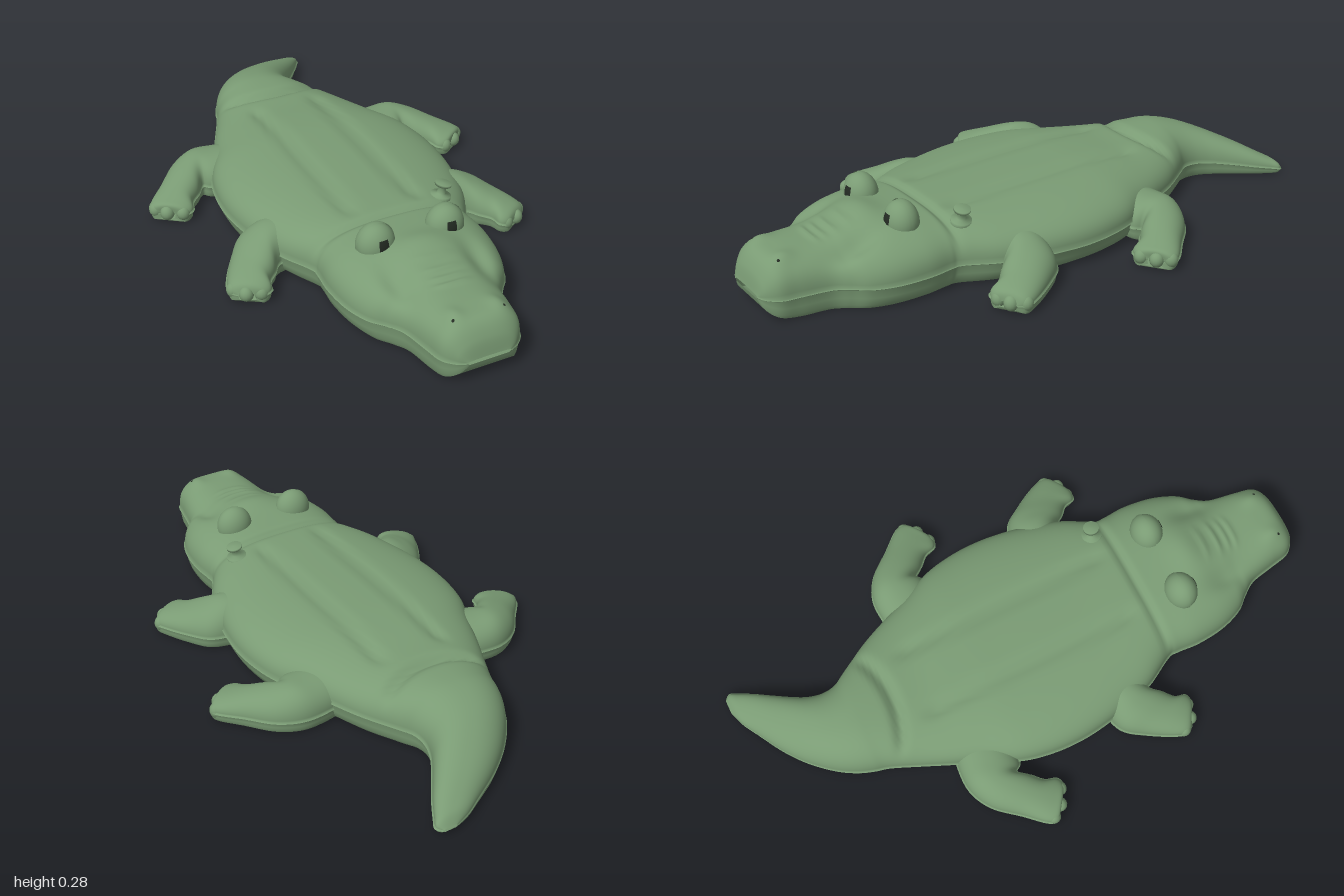
import * as THREE from 'three';

const green = new THREE.MeshStandardMaterial({ color: 0x7a9b74, side: THREE.DoubleSide });
green.name = 'softGreen';
const dark = new THREE.MeshStandardMaterial({ color: 0x232a22, side: THREE.DoubleSide });
dark.name = 'nearBlack';

const gauss = (v, c, w) => Math.exp(-(((v - c) / w) ** 2));

// Smooth interpolation of section rows
function densify(rows, steps) {
  const out = [];
  const at = i => rows[Math.min(rows.length - 1, Math.max(0, i))];
  for (let i = 0; i < rows.length - 1; i++) {
    for (let k = 0; k < steps; k++) {
      const t = k / steps;
      out.push(rows[i].map((p1, c) => {
        const p0 = at(i - 1)[c], p2 = at(i + 1)[c], p3 = at(i + 2)[c];
        return p1 + 0.5 * t * (p2 - p0 + t * (2 * p0 - 5 * p1 + 4 * p2 - p3 + t * (3 * (p1 - p2) + p3 - p0)));
      }));
    }
  }
  out.push(rows[rows.length - 1]);
  return out;
}

// Skin rows of points with one smooth surface
function skin(rows) {
  const n = rows[0].length, index = [];
  for (let i = 0; i < rows.length - 1; i++) {
    for (let j = 0; j < n - 1; j++) {
      const a = i * n + j, b = a + n;
      index.push(a, a + 1, b, a + 1, b + 1, b);
    }
  }
  const geo = new THREE.BufferGeometry();
  geo.setAttribute('position', new THREE.Float32BufferAttribute(rows.flat(2), 3));
  geo.setIndex(index);
  geo.computeVertexNormals();
  return geo;
}

// Inflated shape: section = [xL, zL, xR, zR, top, seam, base, squareness]
function inflate(name, sections, steps, dent = () => 0) {
  const group = new THREE.Group();
  group.name = name;
  const upper = [], lower = [], under = [], N = 48;
  for (const [xl, zl, xr, zr, top, seam, base, n] of densify(sections, steps)) {
    const half = Math.hypot(xr - xl, zr - zl) / 2;
    const point = (s, y) => [(xl + xr + s * (xr - xl)) / 2, y, (zl + zr + s * (zr - zl)) / 2];
    const lip = 1 + 0.005 / Math.max(half, 0.02);
    const arc = [point(-lip, seam)];
    for (let k = 0; k <= N; k++) {
      const a = Math.PI * (1 - k / N), c = Math.cos(a);
      const s = Math.sign(c) * Math.abs(c) ** (2 / n);
      const h = Math.max(0, Math.sin(a)) ** (2 / n);
      const p = point(s, seam + 0.003 + (top - seam) * h);
      p[1] += dent(p[0], p[2]) * h;
      arc.push(p);
    }
    arc.push(point(lip, seam));
    upper.push(arc);
    const wall = [[lip, 1], [0.99, 0.93], [0.98, 0.55], [0.95, 0.2], [0.9, 0]];
    const y = f => base + (seam - base) * f;
    lower.push(wall.map(([s, f]) => point(s, y(f))));
    lower[lower.length - 1].left = wall.map(([s, f]) => point(-s, y(f))).reverse();
    under.push([point(0.9, base), point(-0.9, base)]);
  }
  const parts = { upperSkin: upper, wallLeft: lower, wallRight: lower.map(r => r.left), underside: under };
  for (const [part, rows] of Object.entries(parts)) {
    const mesh = new THREE.Mesh(skin(rows), green);
    mesh.name = part;
    group.add(mesh);
  }
  return group;
}

// Folds, back grooves, snout wrinkles and nostril bumps
function bodyDent(x, z) {
  const ax = Math.abs(x), ss = THREE.MathUtils.smoothstep;
  let d = -0.014 * gauss(ax, 0.115, 0.02) * ss(z, -0.46, -0.38) * (1 - ss(z, 0.3, 0.39));
  d -= 0.014 * gauss(z, 0.4, 0.014);
  d -= 0.024 * gauss(z, -0.5 - 1.4 * x * x, 0.02) * (1 - ss(ax, 0.14, 0.22));
  d += 0.02 * gauss(x, 0, 0.09) * gauss(z, 0.6, 0.06);
  d -= 0.03 * gauss(ax, 0.14, 0.04) * gauss(z, 0.7, 0.08);
  d += 0.012 * gauss(ax, 0.075, 0.03) * gauss(z, 0.91, 0.035);
  for (const w of [0.67, 0.72, 0.755, 0.785]) d += 0.006 * gauss(z, w - 2 * x * x, 0.009) * Math.exp(-((x / 0.055) ** 4));
  return d;
}

function createModel() {
  const model = new THREE.Group();
  model.name = 'inflatableCrocodile';
  const add = (parent, name, geo, mat = green) => {
    const mesh = new THREE.Mesh(geo, mat);
    mesh.name = name;
    parent.add(mesh);
    return mesh;
  };

  // Head and trunk: z, half width, top, seam, base, squareness
  const trunk = [
    [1.0, 0.07, 0.08, 0.075, 0.07, 2.4], [0.985, 0.1, 0.135, 0.075, 0.035, 2.6],
    [0.95, 0.13, 0.178, 0.075, 0.01, 2.8], [0.89, 0.143, 0.188, 0.075, 0, 2.8],
    [0.8, 0.163, 0.188, 0.075, 0, 2.6], [0.75, 0.195, 0.192, 0.075, 0, 2.4],
    [0.7, 0.235, 0.203, 0.075, 0, 2.3], [0.62, 0.264, 0.212, 0.075, 0, 2.4],
    [0.52, 0.275, 0.213, 0.075, 0, 2.6], [0.44, 0.27, 0.208, 0.075, 0, 2.7],
    [0.4, 0.275, 0.205, 0.075, 0, 2.7], [0.3, 0.33, 0.204, 0.075, 0, 2.6],
    [0.2, 0.363, 0.203, 0.073, 0, 2.6], [0.1, 0.385, 0.203, 0.072, 0, 2.6],
    [0, 0.395, 0.203, 0.07, 0, 2.6], [-0.1, 0.39, 0.202, 0.07, 0, 2.6],
    [-0.2, 0.368, 0.2, 0.07, 0, 2.6], [-0.3, 0.32, 0.193, 0.07, 0, 2.6],
    [-0.4, 0.28, 0.184, 0.069, 0, 2.5],
  ].map(([z, w, ...rest]) => [-w, z, w, z, ...rest]);
  // Curved tail: z, left edge x, right edge x, top, seam, base
  const tail = [
    [-0.5, -0.235, 0.235, 0.183, 0.067, 0], [-0.6, -0.19, 0.175, 0.185, 0.063, 0],
    [-0.65, -0.175, 0.145, 0.183, 0.06, 0], [-0.7, -0.155, 0.14, 0.174, 0.056, 0],
    [-0.75, -0.125, 0.155, 0.16, 0.051, 0], [-0.8, -0.083, 0.185, 0.14, 0.045, 0],
    [-0.85, -0.03, 0.22, 0.116, 0.038, 0], [-0.9, 0.04, 0.255, 0.09, 0.03, 0],
    [-0.95, 0.13, 0.285, 0.06, 0.022, 0], [-0.98, 0.185, 0.3, 0.042, 0.017, 0.003],
    [-1.0, 0.24, 0.285, 0.018, 0.014, 0.01],
  ].map(([z, l, r, ...rest]) => [l, z, r, z, ...rest, 2.3]);
  model.add(inflate('body', [...trunk, ...tail], 8, bodyDent));

  // Legs: back edge x z, front edge x z, top
  const legs = {
    frontLeg: {
      rows: [[0.22, 0.1, 0.22, 0.28, 0.15], [0.34, 0.12, 0.33, 0.29, 0.148], [0.42, 0.145, 0.37, 0.33, 0.125],
        [0.47, 0.21, 0.4, 0.36, 0.1], [0.515, 0.29, 0.41, 0.395, 0.08], [0.53, 0.34, 0.435, 0.405, 0.062],
        [0.51, 0.37, 0.46, 0.395, 0.035]],
      toes: [[0.512, 0.335], [0.485, 0.372], [0.44, 0.385]],
    },
    backLeg: {
      rows: [[0.2, -0.38, 0.25, -0.2, 0.13], [0.29, -0.4, 0.36, -0.21, 0.13], [0.38, -0.4, 0.39, -0.235, 0.13],
        [0.46, -0.36, 0.42, -0.2, 0.115], [0.53, -0.28, 0.455, -0.165, 0.092], [0.588, -0.215, 0.47, -0.125, 0.072],
        [0.592, -0.18, 0.5, -0.115, 0.06], [0.56, -0.16, 0.53, -0.135, 0.035]],
      toes: [[0.577, -0.192], [0.55, -0.155], [0.502, -0.132]],
    },
  };
  for (const side of [1, -1]) {
    const tag = side > 0 ? 'Left' : 'Right';
    for (const [name, { rows, toes }] of Object.entries(legs)) {
      const sections = rows.map(([xb, zb, xf, zf, top], i) => {
        const seam = 0.05 - 0.022 * i / (rows.length - 1);
        const edges = side > 0 ? [xb, zb, xf, zf] : [-xf, zf, -xb, zb];
        return [...edges, top, seam, i === rows.length - 1 ? 0.015 : 0.003, 2.2];
      });
      const leg = inflate(name + tag, sections, 5);
      for (const [x, z] of toes) {
        const toe = add(leg, 'toe', new THREE.SphereGeometry(0.024, 16, 12));
        toe.scale.y = 1.1;
        toe.position.set(side * x, 0.032, z);
      }
      model.add(leg);
    }

    // Bulging eye with rear lid and pupil
    const eye = new THREE.Group();
    eye.name = 'eye' + tag;
    eye.position.set(side * 0.12, 0.205, 0.523);
    eye.scale.set(0.062, 0.068, 0.053);
    add(eye, 'eyeball', new THREE.SphereGeometry(1, 32, 20));
    add(eye, 'eyelid', new THREE.SphereGeometry(1.04, 24, 16, Math.PI, Math.PI));
    add(eye, 'pupil', new THREE.SphereGeometry(1.02, 12, 8, Math.PI / 2 - 0.27 - side * 0.06, 0.54, 1.03, 0.5), dark);
    model.add(eye);

    // Nostril spot
    const nostril = add(model, 'nostril' + tag, new THREE.SphereGeometry(0.011, 12, 8), dark);
    nostril.scale.set(1, 0.4, 0.7);
    nostril.position.set(side * 0.078, 0.182, 0.928);
    nostril.rotation.x = 0.5;
  }

  // Air valve leaning outward
  const valve = new THREE.Group();
  valve.name = 'airValve';
  valve.position.set(0.2, 0.18, 0.355);
  valve.rotation.z = -0.2;
  const profile = [[0.034, 0], [0.034, 0.012], [0.014, 0.016], [0.013, 0.042], [0.027, 0.045], [0.027, 0.053], [0, 0.054]];
  add(valve, 'valveStem', new THREE.LatheGeometry(profile.map(p => new THREE.Vector2(...p)), 20));
  model.add(valve);
  return model;
}

export { createModel };
